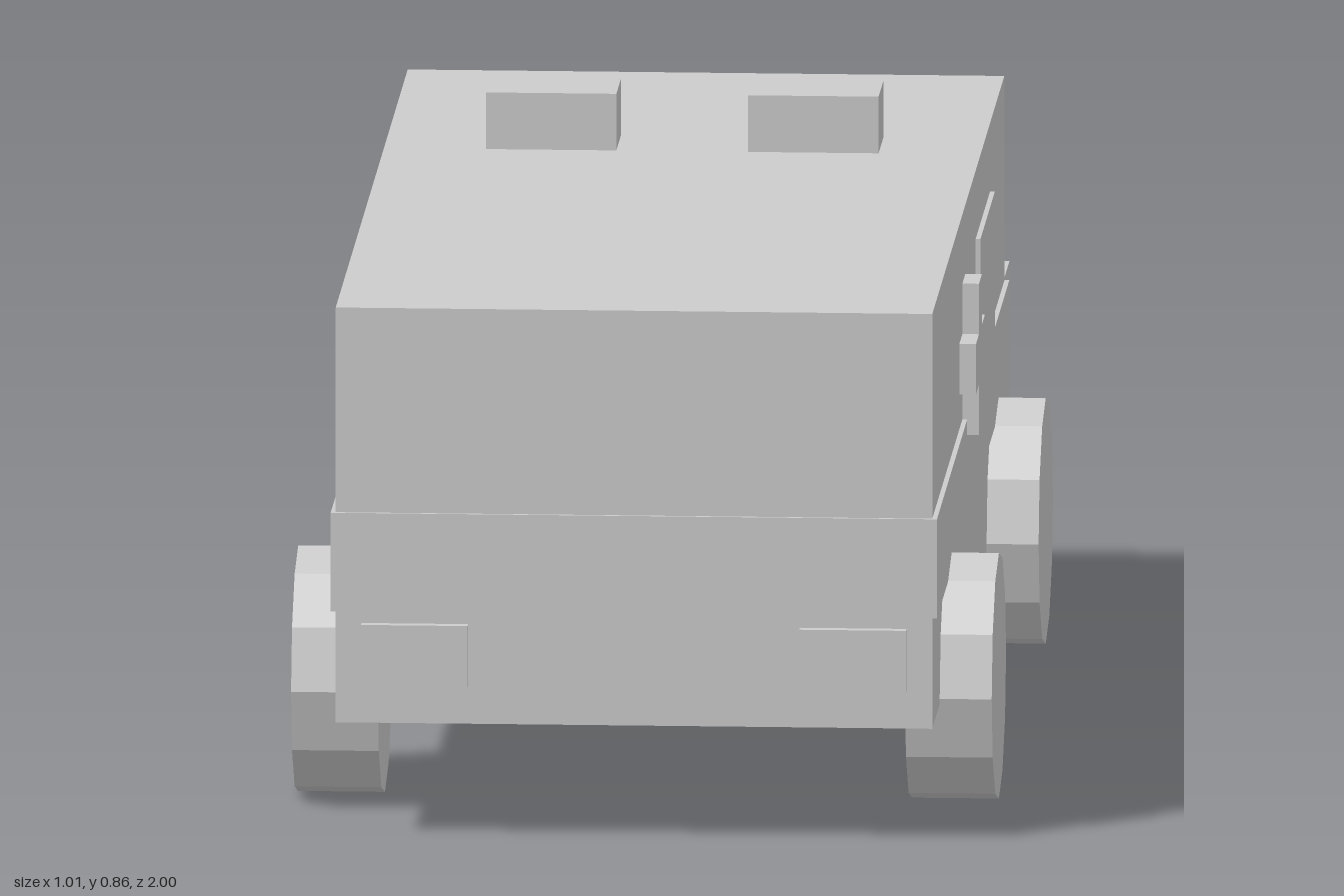
import * as THREE from 'three';

const paint = new THREE.MeshStandardMaterial({ color: 0xcccccc });
paint.name = 'light grey';

export function createModel() {
  const model = new THREE.Group();
  model.name = 'ambulance';

  const add = (name, geometry) => {
    const mesh = new THREE.Mesh(geometry, paint);
    mesh.name = name;
    model.add(mesh);
    return mesh;
  };

  // Box given by its lower and upper corner
  const box = (name, x0, x1, y0, y1, z0, z1) =>
    add(name, new THREE.BoxGeometry(x1 - x0, y1 - y0, z1 - z0))
      .position.set((x0 + x1) / 2, (y0 + y1) / 2, (z0 + z1) / 2);

  // Side outline of [z, y] points, extruded across x
  const sideExtrude = (name, points, x0, x1) => {
    const shape = new THREE.Shape(points.map(([z, y]) => new THREE.Vector2(-z, y)));
    const geometry = new THREE.ExtrudeGeometry(shape, { depth: x1 - x0, bevelEnabled: false });
    geometry.rotateY(Math.PI / 2);
    geometry.translate(x0, 0, 0);
    return add(name, geometry);
  };

  // Main body and the lower engine block behind it
  box('body', -0.43, 0.43, 0.172, 0.78, -0.82, 0.985);
  box('hood', -0.428, 0.428, 0.162, 0.477, -0.983, -0.45);

  // Slightly raised band around the body, stepping up at the doors
  sideExtrude('sideBand', [
    [0.99, 0.335], [0.99, 0.48], [-0.1, 0.48], [-0.1, 0.68],
    [-0.46, 0.68], [-0.46, 0.48], [-0.825, 0.48], [-0.825, 0.335],
  ], -0.437, 0.437);

  // Cross emblem on both sides, as one outline
  const a = 0.037, b = 0.111;
  const cross = [
    [-a, -b], [a, -b], [a, -a], [b, -a], [b, a], [a, a],
    [a, b], [-a, b], [-a, a], [-b, a], [-b, -a], [-a, -a],
  ].map(([z, y]) => [z + 0.195, y + 0.568]);
  sideExtrude('leftCross', cross, 0.42, 0.454);
  sideExtrude('rightCross', cross, -0.454, -0.42);

  // Mirrored parts: roof beacons, lamps and wheels
  for (const [side, s] of [['left', 1], ['right', -1]]) {
    const pair = (name, xa, xb, ...rest) =>
      box(side + name, Math.min(s * xa, s * xb), Math.max(s * xa, s * xb), ...rest);
    pair('Beacon', 0.095, 0.283, 0.77, 0.863, -0.345, -0.225);
    pair('FrontLamp', 0.239, 0.393, 0.228, 0.318, 0.97, 1);
    pair('RearLamp', 0.239, 0.393, 0.228, 0.318, -1, -0.97);

    for (const [end, z] of [['Front', 0.62], ['Rear', -0.555]]) {
      const tyre = new THREE.CylinderGeometry(0.18, 0.18, 0.125, 12).toNonIndexed();
      tyre.computeVertexNormals(); // faceted tread
      tyre.rotateZ(Math.PI / 2);
      add(side + end + 'Wheel', tyre).position.set(s * 0.4425, 0.18, z);
    }
  }
  return model;
}
